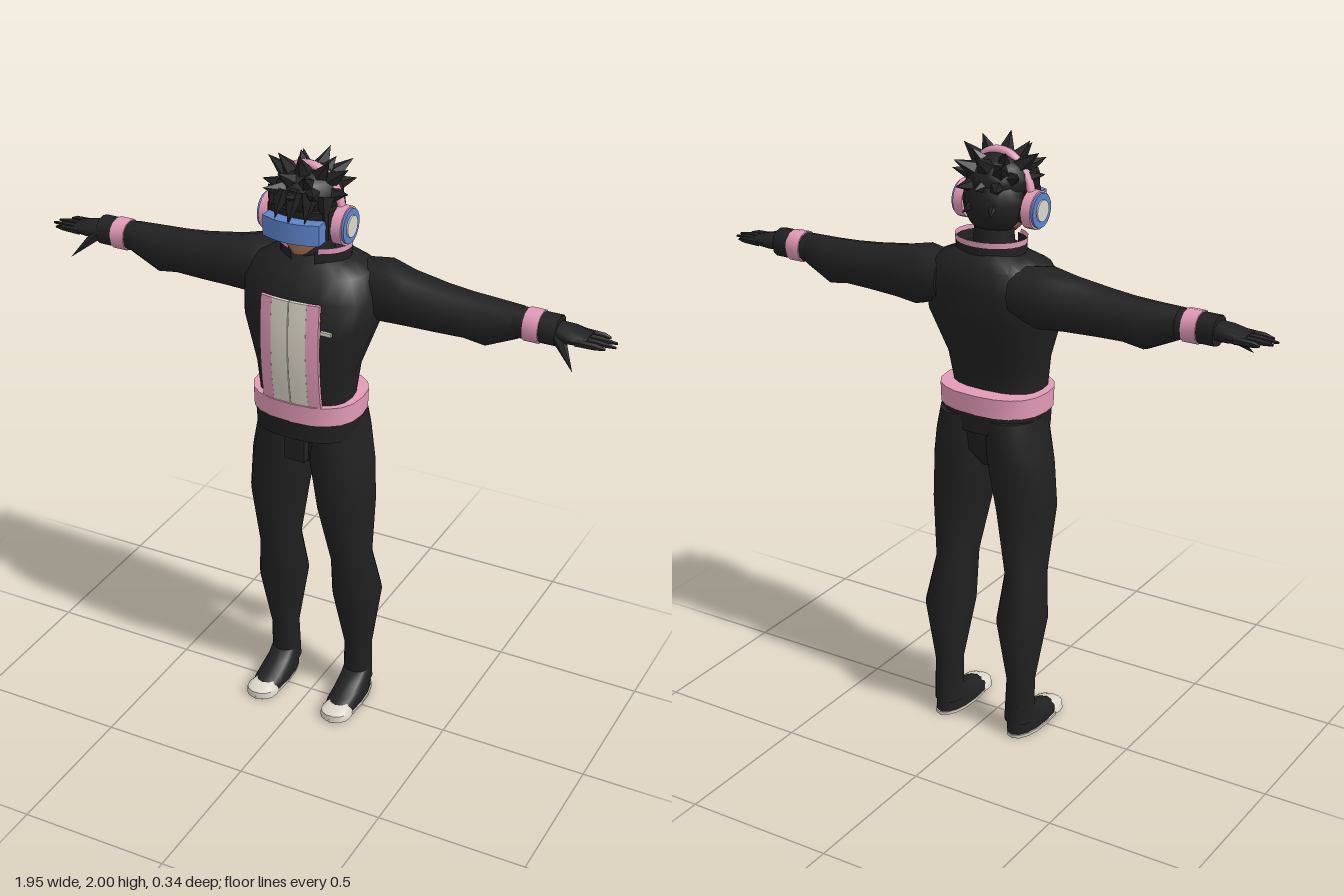
import * as THREE from 'three';
import { toCreasedNormals } from 'three/addons/utils/BufferGeometryUtils.js';

const mat = (name, color, side = THREE.FrontSide) => {
  const m = new THREE.MeshStandardMaterial({ color, side });
  m.name = name;
  return m;
};

// Closed skin over rings [t, c1, c2, r1, r2]; axis 'y' gives (x, z) rings, 'x' gives (y, z) rings
function loft(rings, { axis = 'y', sides = 14, power = 2.2, crease = 0.9 } = {}) {
  const pos = [], idx = [];
  const put = (t, a, b) => (axis === 'y' ? pos.push(a, t, b) : pos.push(t, a, b));
  const s = axis === 'y' ? 1 : -1;
  const round = (v) => Math.sign(v) * Math.pow(Math.abs(v), 2 / power);
  for (const [t, c1, c2, r1, r2] of rings) {
    for (let j = 0; j < sides; j++) {
      const a = (j / sides) * Math.PI * 2;
      put(t, c1 + r1 * round(Math.cos(a)), c2 + s * r2 * round(Math.sin(a)));
    }
  }
  const n = rings.length;
  for (let i = 0; i < n - 1; i++) for (let j = 0; j < sides; j++) {
    const k = (j + 1) % sides, a = i * sides + j, b = i * sides + k;
    idx.push(a, a + sides, b, b, a + sides, b + sides);
  }
  const first = rings[0], last = rings[n - 1], c = n * sides;
  put(first[0], first[1], first[2]);
  put(last[0], last[1], last[2]);
  for (let j = 0; j < sides; j++) {
    const k = (j + 1) % sides;
    idx.push(c, j, k, c + 1, (n - 1) * sides + k, (n - 1) * sides + j);
  }
  const g = new THREE.BufferGeometry();
  g.setAttribute('position', new THREE.Float32BufferAttribute(pos, 3));
  g.setIndex(idx);
  return toCreasedNormals(g, crease);
}

// Mirror across x, keeping faces outward
function mirror(geo) {
  const g = geo.index ? geo.toNonIndexed() : geo.clone();
  g.scale(-1, 1, 1);
  for (const name of ['position', 'normal']) {
    const a = g.attributes[name].array;
    for (let i = 0; i < a.length; i += 9) for (let k = 0; k < 3; k++) {
      [a[i + 3 + k], a[i + 6 + k]] = [a[i + 6 + k], a[i + 3 + k]];
    }
  }
  return g;
}

// Pointed cone from a base point to a tip
function spike(base, tip, radius, sides = 5) {
  const d = tip.clone().sub(base), len = d.length();
  const g = new THREE.ConeGeometry(radius, len, sides).translate(0, len / 2, 0);
  g.applyQuaternion(new THREE.Quaternion().setFromUnitVectors(new THREE.Vector3(0, 1, 0), d.normalize()));
  g.translate(base.x, base.y, base.z);
  return toCreasedNormals(g, 0.3);
}

// Box bent by a depth rule z = f(x, y)
function bentBox(w, h, d, x, y, f) {
  const g = new THREE.BoxGeometry(w, h, d, 6, 6, 1).translate(x, y, 0);
  const p = g.attributes.position;
  for (let i = 0; i < p.count; i++) p.setZ(i, p.getZ(i) + f(p.getX(i), p.getY(i)));
  g.computeVertexNormals();
  return g;
}

export function createModel() {
  const model = new THREE.Group();
  const black = mat('black cloth', 0x212121), pink = mat('pink trim', 0xe39bb8);
  const cream = mat('cream', 0xdcd8ca), blue = mat('blue', 0x5c84cb), skin = mat('skin', 0xa8744f);
  const blackOpen = mat('black collar', 0x212121, THREE.DoubleSide);
  const pinkOpen = mat('pink collar', 0xe39bb8, THREE.DoubleSide);
  const V = (x, y, z) => new THREE.Vector3(x, y, z);
  const add = (name, geo, m) => {
    const mesh = new THREE.Mesh(geo, m);
    mesh.name = name;
    model.add(mesh);
  };
  const pair = (name, geo, m) => {
    add(name + 'Left', geo, m);
    add(name + 'Right', mirror(geo), m);
  };

  // Jacket body, hem and belt
  add('torso', loft([
    [1.1, 0, 0.01, 0.155, 0.115], [1.2, 0, 0.02, 0.155, 0.105], [1.3, 0, 0.014, 0.165, 0.124],
    [1.45, 0, -0.01, 0.215, 0.155], [1.55, 0, -0.022, 0.222, 0.149], [1.62, 0, -0.035, 0.19, 0.128],
    [1.645, 0, -0.04, 0.13, 0.1], [1.67, 0, -0.04, 0.08, 0.08],
  ], { sides: 20, power: 2.6 }), black);
  add('jacketHem', loft([[1.07, 0, 0, 0.172, 0.136], [1.14, 0, 0, 0.176, 0.14]], { sides: 20, power: 2.5 }), black);
  add('belt', loft([[1.135, 0, 0, 0.181, 0.143], [1.2, 0, 0, 0.183, 0.145]], { sides: 20, power: 2.5 }), pink);

  // Shirt front: cream centre between two pink strips
  const chest = (x, y) => 0.153 - 0.45 * (y - 1.41) ** 2 - x * x;
  pair('shirtStrip', bentBox(0.04, 0.355, 0.012, 0.08, 1.3775, chest), pink);
  pair('shirtPanel', bentBox(0.0585, 0.355, 0.012, 0.0305, 1.3775, chest), cream);
  add('chestTag', new THREE.BoxGeometry(0.035, 0.012, 0.009).translate(0.12, 1.465, 0.134), cream);

  // Neck and open standing collar
  add('neck', new THREE.CylinderGeometry(0.06, 0.07, 0.14, 12).translate(0, 1.67, -0.02), black);
  const collar = (r0, r1, h, y, gap) =>
    new THREE.CylinderGeometry(r1, r0, h, 20, 1, true, gap, Math.PI * 2 - gap * 2)
      .scale(1.15, 1, 0.95).translate(0, y, -0.035);
  add('collar', collar(0.1, 0.101, 0.075, 1.65, 0.35), blackOpen);
  add('collarRim', collar(0.102, 0.103, 0.018, 1.692, 0.45), pinkOpen);

  // Arms, cuffs and wrist bands
  const alongX = { axis: 'x', sides: 12 };
  pair('arm', loft([
    [0.13, 1.555, -0.085, 0.075, 0.08], [0.22, 1.547, -0.08, 0.098, 0.094], [0.3, 1.54, -0.073, 0.085, 0.086],
    [0.42, 1.533, -0.068, 0.074, 0.078], [0.5, 1.53, -0.068, 0.07, 0.07], [0.57, 1.523, -0.068, 0.075, 0.065],
    [0.67, 1.545, -0.065, 0.05, 0.048],
  ], alongX), black);
  const cuff = (x0, x1, r) => loft([[x0, 1.547, -0.063, r, r], [x1, 1.547, -0.063, r, r]], alongX);
  pair('cuff', cuff(0.655, 0.795, 0.047), black);
  pair('wristBand', cuff(0.69, 0.74, 0.051), pink);

  // Hands
  pair('palm', loft([
    [0.78, 1.548, -0.06, 0.03, 0.038], [0.83, 1.546, -0.06, 0.026, 0.05], [0.89, 1.542, -0.06, 0.014, 0.046],
  ], alongX), black);
  [-0.1, -0.073, -0.046, -0.02].forEach((z, i) => {
    const reach = [0.94, 0.97, 0.975, 0.95][i];
    pair('finger' + i, loft([
      [0.86, 1.542, z, 0.013, 0.014], [0.92, 1.542, z, 0.011, 0.011], [reach, 1.54, z, 0.004, 0.004],
    ], { axis: 'x', sides: 6, power: 2 }), black);
  });
  pair('thumb', spike(V(0.8, 1.54, -0.035), V(0.87, 1.465, 0.022), 0.022, 6), black);

  // Legs and hips
  pair('leg', loft([
    [0.05, 0.138, -0.085, 0.048, 0.05], [0.2, 0.14, -0.08, 0.045, 0.05], [0.42, 0.138, -0.07, 0.078, 0.096],
    [0.58, 0.132, -0.035, 0.062, 0.086], [0.8, 0.12, -0.015, 0.09, 0.115], [0.95, 0.102, -0.02, 0.1, 0.12],
    [1.05, 0.092, -0.025, 0.092, 0.125], [1.12, 0.085, -0.02, 0.088, 0.12],
  ]), black);
  add('hips', loft([[0.94, 0, -0.02, 0.03, 0.06], [1.0, 0, -0.02, 0.1, 0.105], [1.1, 0, -0.015, 0.15, 0.12]]), black);
  add('jacketFlap', new THREE.BoxGeometry(0.07, 0.11, 0.03).translate(0, 1.035, 0.1), black);

  // Shoes with pale sole and toe
  pair('shoe', loft([
    [0.01, 0.14, 0, 0.053, 0.138], [0.03, 0.14, -0.005, 0.054, 0.132], [0.052, 0.14, -0.035, 0.05, 0.1],
    [0.075, 0.139, -0.065, 0.047, 0.07], [0.1, 0.139, -0.083, 0.046, 0.05],
  ], { sides: 16 }), black);
  pair('sole', loft([[0, 0.142, 0, 0.054, 0.14], [0.012, 0.142, 0, 0.056, 0.142]], { sides: 16 }), cream);
  pair('toeCap', loft([[0.005, 0.142, 0.085, 0.054, 0.057], [0.028, 0.142, 0.09, 0.05, 0.05], [0.042, 0.142, 0.08, 0.034, 0.03]]), cream);

  // Head and visor
  add('head', loft([
    [1.688, 0, 0.06, 0.025, 0.035], [1.715, 0, 0.035, 0.058, 0.066], [1.76, 0, 0.015, 0.08, 0.09],
    [1.85, 0, 0.01, 0.088, 0.095], [1.89, 0, 0, 0.06, 0.07],
  ]), skin);
  const wrap = (x) => -2.5 * x * x;
  add('visor', bentBox(0.19, 0.066, 0.045, 0, 1.782, (x) => 0.132 + wrap(x)), blue);
  add('visorFrame', bentBox(0.205, 0.085, 0.09, 0, 1.795, (x) => 0.067 + wrap(x)), black);

  // Hair mass
  add('backHair', new THREE.SphereGeometry(1, 14, 10).scale(0.1, 0.108, 0.09).translate(0, 1.805, -0.02), black);
  add('topHair', new THREE.SphereGeometry(1, 14, 10).scale(0.103, 0.08, 0.108).translate(0, 1.868, 0.01), black);

  // Hair spikes, mirrored unless on the centre line
  const root = V(0, 1.86, 0.01);
  [
    [0, 2.0, 0.08], [0, 1.9, 0.168], [0, 1.96, -0.13], [0, 1.86, -0.135],
    [0.085, 1.985, 0.05], [0.135, 1.96, 0.02], [0.145, 1.89, 0.04], [0.085, 1.91, 0.15], [0.045, 1.955, 0.13],
    [0.06, 1.965, -0.05], [0.085, 1.94, -0.115], [0.07, 1.86, -0.13], [0.12, 1.9, -0.07], [0.05, 1.78, -0.125],
  ].forEach(([x, y, z], i) => {
    const tip = V(x, y, z), g = spike(root.clone().lerp(tip, 0.32), tip, 0.043);
    if (x) pair('hairSpike' + i, g, black);
    else add('hairSpike' + i, g, black);
  });
  add('fringeCentre', spike(V(0, 1.895, 0.105), V(0, 1.808, 0.152), 0.032), black);
  pair('fringeInner', spike(V(0.045, 1.89, 0.095), V(0.05, 1.815, 0.14), 0.032), black);
  pair('fringeOuter', spike(V(0.08, 1.88, 0.065), V(0.095, 1.8, 0.095), 0.032), black);

  // Headphones
  const disc = (r, x0, x1) => new THREE.CylinderGeometry(r, r, x1 - x0, 20)
    .rotateZ(-Math.PI / 2).translate((x0 + x1) / 2, 1.782, 0.02);
  pair('earCushion', disc(0.05, 0.085, 0.11), black);
  pair('earCup', disc(0.061, 0.105, 0.138), pink);
  pair('earRing', disc(0.055, 0.13, 0.146), blue);
  pair('earCentre', disc(0.034, 0.14, 0.151), cream);
  add('headband', new THREE.TorusGeometry(0.11, 0.011, 8, 24, Math.PI)
    .scale(1.04, 1.38, 1.5).translate(0, 1.8, 0.015), pink);

  return model;
}
